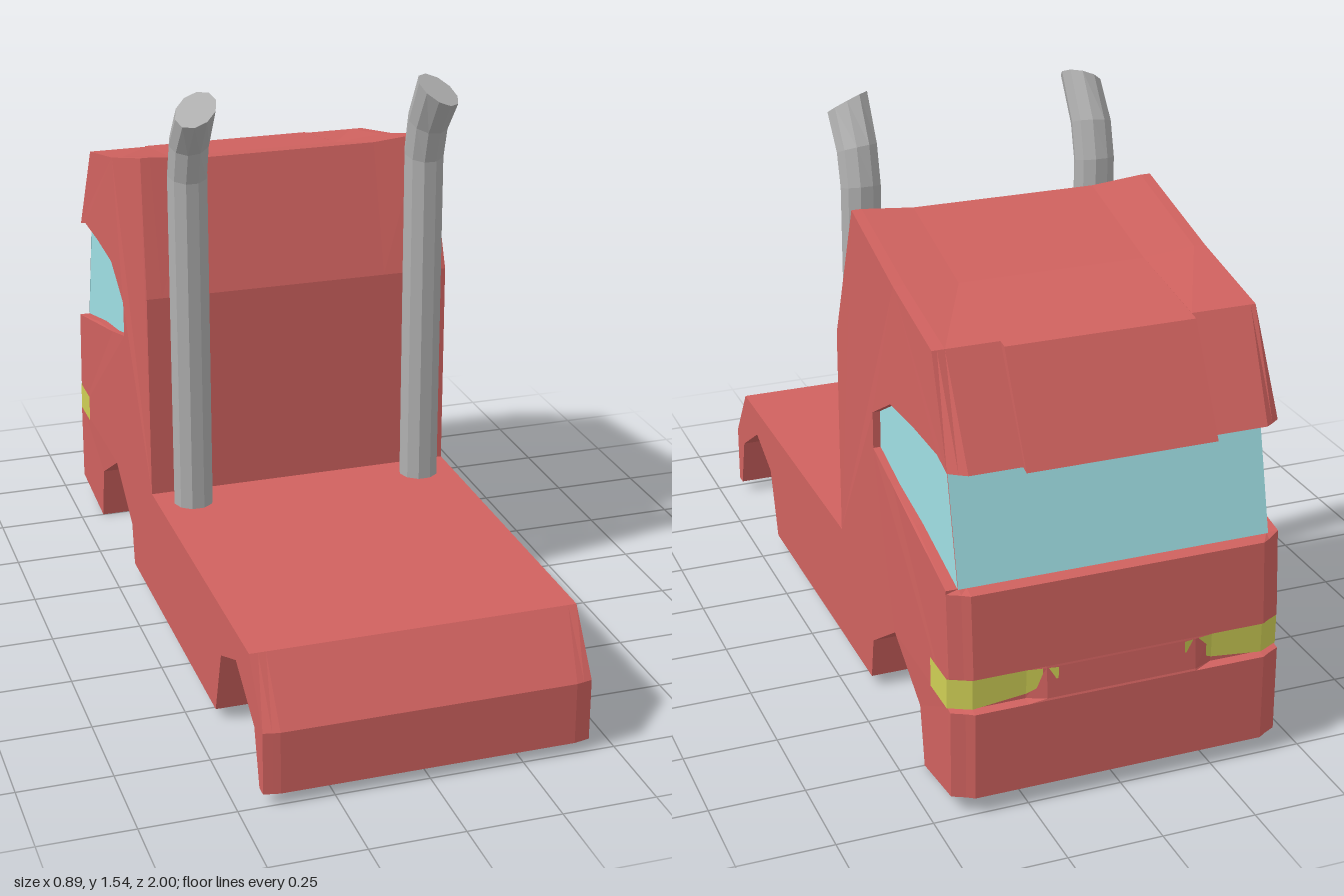
import * as THREE from 'three';

const RED = 0xd0625f, GLASS = 0x9fdfe4, YELLOW = 0xcfcf55, GREY = 0xb0b0b0;

function mesh(name, geometry, color) {
  const m = new THREE.Mesh(geometry, new THREE.MeshStandardMaterial({
    color, flatShading: true, side: THREE.DoubleSide }));
  m.name = name;
  return m;
}

// Faceted geometry from a list of triangles, dropping the collapsed ones
function fromTriangles(tris) {
  const kept = tris.filter(([a, b, c]) => new THREE.Triangle(a, b, c).getArea() > 1e-8);
  const g = new THREE.BufferGeometry().setFromPoints(kept.flat());
  g.computeVertexNormals();
  return g;
}

// Skin between successive rows of points
function skin(rows) {
  const tris = [];
  for (let i = 0; i + 1 < rows.length; i++) {
    for (let j = 0; j + 1 < rows[i].length; j++) {
      const a = rows[i][j], b = rows[i + 1][j], c = rows[i + 1][j + 1], d = rows[i][j + 1];
      tris.push([a, b, c], [a, c, d]);
    }
  }
  return tris;
}

const V = (x, y, z) => new THREE.Vector3(x, y, z);

// Windscreen slope
const screenZ = y => -0.86 - 0.25 * (0.92 - y);

// Side window outline (z, y), from the top front corner round to the bottom front corner
const sideWindow = [[-0.7, 0.92], [-0.52, 0.91], [-0.38, 0.83], [-0.38, 0.73],
  [-0.53, 0.69], [-0.7, 0.66], [-0.94, 0.6]];

// Body outline: z, y, then the detail level from which it applies and the plain z, y used below it
const outline = [
  [1, 0.03], [1, 0.2], [0.88, 0.36], [-0.09, 0.36], [-0.09, 0.94],
  [-0.19, 1.31], [-0.52, 1.22], [-0.8, 1.16, 2, -0.825, 1.155],
  [-0.955, 0.9, 2, -0.97, 0.89], [-0.86, 0.92],
  ...sideWindow.map(([z, y]) => [z, y, 3, screenZ(y), y]),
  [-0.97, 0.59], [-0.987, 0.37],
  [-0.975, 0.365, 1, -0.988, 0.365], [-0.975, 0.285, 1, -0.996, 0.285],   // headlight recess
  [-0.998, 0.28], [-1, 0.045],
  [-0.75, 0], [-0.72, 0.16, 2, -0.72, 0.01], [-0.53, 0.27, 2, -0.53, 0.065],   // front arch
  [-0.35, 0.15, 2, -0.35, 0.033], [-0.33, 0.03],
  [0.56, 0.03], [0.62, 0.22, 2, 0.62, 0.03], [0.76, 0.28, 2, 0.76, 0.03],   // rear arch
  [0.92, 0.18, 2, 0.92, 0.03], [0.96, 0.03],
];

// Stations across the body: x, detail level, corner rounding
const half = [[0.2, 0, 0], [0.25, 1, 0], [0.25, 2, 0], [0.39, 2, 0],
  [0.41, 2, 0.013], [0.41, 3, 0.013], [0.43, 3, 0.03]];

function section([x, level, pull]) {
  const outer = Math.abs(x) > 0.42;
  return outline.map(([z, y, need = 0, z0, y0]) => {
    let [pz, py] = level >= need ? [z, y] : [z0, y0];
    let px = x;
    if (outer) {
      let w = 0.433 - 0.016 * THREE.MathUtils.clamp((py - 0.94) / 0.37, 0, 1);
      if (pz < -0.85 && py < 0.62) w = 0.443;
      px = Math.sign(x) * w;
    }
    if (pz < -0.945) pz += pull;
    if (pz > 0.99) pz -= pull * 0.3;
    if (py > 1.2 && Math.abs(x) < 0.3) py -= 0.013;
    return V(px, py, pz);
  });
}

function bodyGeometry() {
  const stations = [...half.map(([x, l, p]) => [-x, l, p]).reverse(), ...half];
  const rows = stations.map(section);
  const tris = skin(rows.map(r => [...r, r[0]]));
  // Flat flanks
  for (const [row, side] of [[rows[0], -1], [rows[rows.length - 1], 1]]) {
    const flat = row.map(p => new THREE.Vector2(p.z, p.y));
    for (const f of THREE.ShapeUtils.triangulateShape(flat, [])) {
      const t = f.map(i => row[i]);
      const n = new THREE.Triangle(...t).getNormal(V(0, 0, 0));
      tris.push(n.x * side < 0 ? t.reverse() : t);
    }
  }
  return fromTriangles(tris);
}

// Exhaust stack: rings of centre z, centre y, slope along z, slope outward
function stackGeometry(side) {
  const rings = [[-0.012, 0.355, 0, 0], [-0.012, 1.31, -0.25, 0],
    [0.014, 1.405, -0.4, -0.1], [0.088, 1.51, -0.5, -0.4]];
  const ring = ([cz, cy, sz, sx], r) => Array.from({ length: 11 }, (_, i) => {
    const a = (i % 10) * Math.PI / 5;
    const x = r * Math.cos(a), z = r * Math.sin(a);
    return V(side * 0.333 + x, cy + sz * z + sx * side * x, cz + z);
  });
  const rows = rings.map(r => ring(r, 0.055));
  rows.push(ring(rings[3], 0));
  return fromTriangles(skin(rows));
}

// Headlight wrapping round the front corner: x, z, bottom y
function headlightGeometry(side) {
  const path = [[0.17, -0.992, 0.335], [0.25, -0.979, 0.3], [0.39, -0.979, 0.285],
    [0.446, -0.95, 0.285], [0.446, -0.835, 0.285]];
  const rows = path.map(([x, z, y]) => [V(side * x, 0.365, z), V(side * x, y, z)]);
  return fromTriangles(skin(side > 0 ? rows : rows.reverse()));
}

function sideGlassGeometry(side) {
  const pts = [[-0.86, 0.92], ...sideWindow].map(([z, y]) => new THREE.Vector2(-z, y));
  return new THREE.ShapeGeometry(new THREE.Shape(pts))
    .rotateY(Math.PI / 2).translate(side * 0.413, 0, 0);
}

export function createModel() {
  const group = new THREE.Group();
  group.name = 'truckTractor';
  group.add(mesh('body', bodyGeometry(), RED));

  const edge = x => [0.92, 0.6].map(y => V(x, y, screenZ(y) - 0.004));
  group.add(mesh('windscreen', fromTriangles(skin([edge(-0.413), edge(0.413)])), GLASS));

  for (const [label, side] of [['left', 1], ['right', -1]]) {
    group.add(mesh(label + 'SideWindow', sideGlassGeometry(side), GLASS));
    group.add(mesh(label + 'Headlight', headlightGeometry(side), YELLOW));
    group.add(mesh(label + 'ExhaustStack', stackGeometry(side), GREY));
  }
  return group;
}
